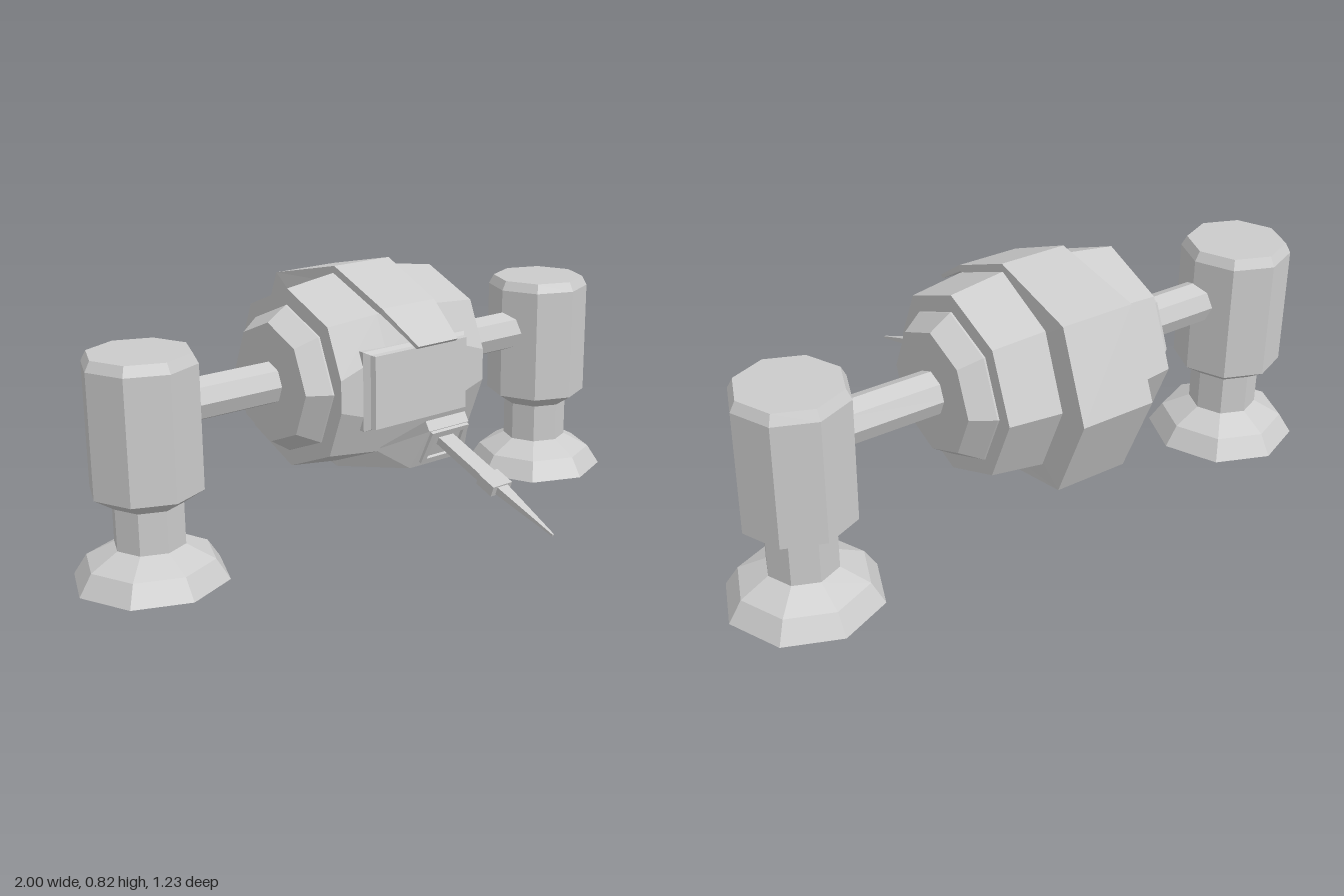
import * as THREE from 'three';

const mat = new THREE.MeshStandardMaterial({ color: 0xcccccc, flatShading: true, side: THREE.DoubleSide });
const CY = 0.5, CZ = -0.225; // axis of the hull drum

function add(parent, name, geometry) {
  const mesh = new THREE.Mesh(geometry, mat);
  mesh.name = name;
  parent.add(mesh);
  return mesh;
}

// Skin a list of closed loops (equal point counts) and cap both ends, facing outward.
function loft(sections) {
  const tris = [], n = sections[0].length;
  for (let s = 0; s < sections.length - 1; s++) {
    for (let i = 0; i < n; i++) {
      const j = (i + 1) % n, a = sections[s], b = sections[s + 1];
      tris.push([a[i], a[j], b[j]], [a[i], b[j], b[i]]);
    }
  }
  const first = sections[0], last = sections[sections.length - 1];
  for (let i = 1; i < n - 1; i++) {
    tris.push([first[0], first[i + 1], first[i]], [last[0], last[i], last[i + 1]]);
  }
  let volume = 0;
  for (const [a, b, c] of tris) volume += a.dot(b.clone().cross(c));
  if (volume < 0) tris.forEach((t) => t.reverse());
  const geometry = new THREE.BufferGeometry().setFromPoints(tris.flat());
  geometry.computeVertexNormals();
  return geometry;
}

const V = (x, y, z) => new THREE.Vector3(x, y, z);

// Octagon around the drum axis, with its front corner cut flat.
function drumRing(x, r) {
  const d = r * Math.SQRT1_2, f = 0.255;
  const y = d * (1 - (f - d) / (r - d));
  return [[f, y], [d, d], [0, r], [-d, d], [-r, 0], [-d, -d], [0, -r], [d, -d], [f, -y]]
    .map(([pz, py]) => V(x, CY + py, CZ + pz));
}

// Cross-section of a strap: outer and inner point in z, y with half width w.
const strap = ([oz, oy, iz, iy, w]) => [V(-w, oy, oz), V(w, oy, oz), V(w, iy, iz), V(-w, iy, iz)];

const windowRing = ([z, w, h]) => [V(-w, CY - h, z), V(w, CY - h, z), V(w, CY + h, z), V(-w, CY + h, z)];

const lathe = (profile) => new THREE.LatheGeometry(profile.map(([r, y]) => new THREE.Vector2(r, y)), 8);

export function createModel() {
  const model = new THREE.Group();
  model.name = 'walkerPod';

  // Hull drum, central armour strap with hood, and chin
  add(model, 'hullDrum', loft([drumRing(-0.275, 0.275), drumRing(-0.108, 0.298),
    drumRing(0.108, 0.298), drumRing(0.275, 0.275)]));
  add(model, 'armourStrap', loft([
    [0.135, 0.637, 0.126, 0.629, 0.075], [0, 0.728, -0.005, 0.71, 0.1],
    [-0.22, 0.82, -0.22, 0.77, 0.105], [-0.51, 0.755, -0.42, 0.69, 0.115],
    [-0.615, 0.5, -0.49, 0.5, 0.117], [-0.51, 0.245, -0.42, 0.31, 0.115],
    [-0.22, 0.185, -0.22, 0.23, 0.105],
  ].map(strap)));
  add(model, 'chin', loft([
    [-0.22, 0.185, -0.22, 0.23, 0.105], [0.132, 0.275, -0.03, 0.288, 0.105],
    [0.185, 0.395, 0.168, 0.422, 0.076],
  ].map(strap)));

  // Front window block
  add(model, 'frontWindow', loft([[-0.03, 0.195, 0.12], [0.03, 0.195, 0.12],
    [0.046, 0.18, 0.112], [0.063, 0.175, 0.11]].map(windowRing)));

  // Raised frame around the gun socket
  const frame = new THREE.Shape([[-0.076, -0.052], [0.076, -0.052], [0.07, 0.06], [-0.07, 0.06]]
    .map(([x, y]) => new THREE.Vector2(x, y)));
  frame.holes.push(new THREE.Path([[-0.058, -0.038], [-0.054, 0.044], [0.054, 0.044], [0.058, -0.038]]
    .map(([x, y]) => new THREE.Vector2(x, y))));
  const socket = add(model, 'gunSocketFrame', new THREE.ExtrudeGeometry(frame, { depth: 0.014, bevelEnabled: false }));
  socket.position.set(0, 0.34, 0.156);
  socket.rotation.x = 0.43;

  // Gun: square barrel, collar and tapering spike along local +z
  const gun = new THREE.Group();
  gun.name = 'gun';
  gun.position.set(0, 0.355, 0.16);
  gun.rotation.x = Math.atan2(0.165, 0.455);
  model.add(gun);
  const square = ([z, w, h]) => [V(-w, -h, z), V(w, -h, z), V(w, h, z), V(-w, h, z)];
  add(gun, 'gunBarrel', loft([[-0.03, 0.028, 0.012], [0.21, 0.028, 0.012]].map(square)));
  add(gun, 'gunCollar', loft([[0.2, 0.036, 0.016], [0.265, 0.036, 0.016]].map(square)));
  add(gun, 'gunSpike', loft([[0.26, 0.02, 0.012], [0.484, 0.003, 0.003]].map(square)));

  for (const side of [-1, 1]) {
    const label = side > 0 ? 'left' : 'right';

    // Bevelled end cap of the hull and the strut reaching to the leg
    const cap = add(model, label + 'HullCap', lathe([[0.235, 0.22], [0.225, 0.28], [0.183, 0.345], [0, 0.345]]));
    const strut = add(model, label + 'Strut', new THREE.CylinderGeometry(0.065, 0.065, 0.35, 8).translate(0, 0.475, 0));
    for (const part of [cap, strut]) {
      part.position.set(0, CY, CZ - 0.003);
      part.rotation.z = -side * Math.PI / 2;
    }

    // Leg: flared hollow foot, ankle and tall housing
    const leg = add(model, label + 'Leg', lathe([[0.23, 0], [0.19, 0.062], [0.105, 0.106], [0.105, 0.232],
      [0.166, 0.272], [0.166, 0.64], [0.15, 0.67], [0, 0.67]]));
    leg.position.set(side * 0.77, 0, -0.23);
  }
  return model;
}
